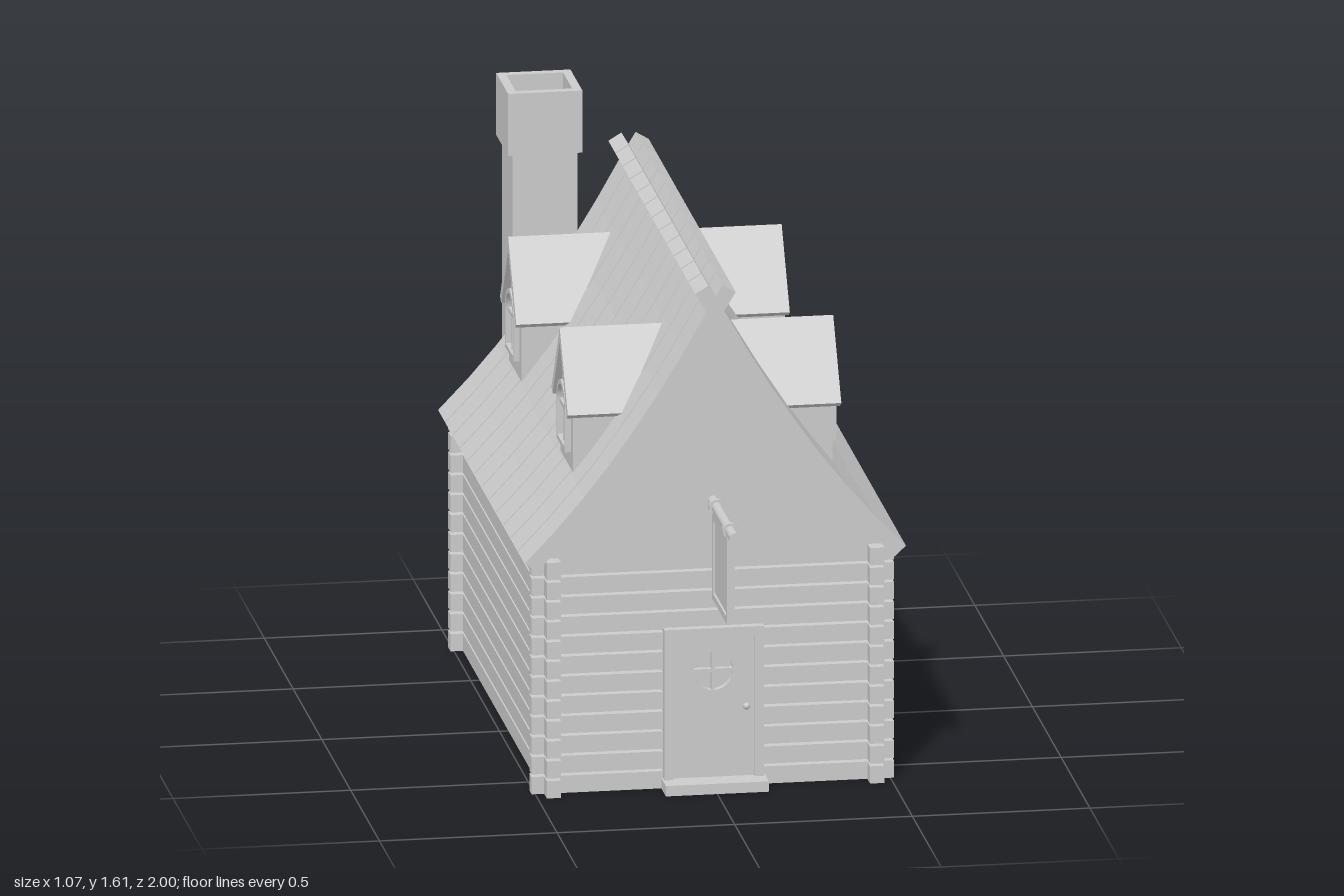
import * as THREE from 'three';

const V = (x, y) => new THREE.Vector2(x, y);
const material = new THREE.MeshStandardMaterial({ color: 0xcccccc });

// Upper line of the right roof slope, from the eave to the crossed tip
const slope = [[0.536, 0.685], [0.45, 0.775], [0.37, 0.868], [0.3, 0.957], [0.235, 1.048],
  [0.16, 1.16], [0.09, 1.275], [0.025, 1.39], [-0.02, 1.465]].map(p => V(...p));

// Same line moved inwards by the plank thickness
const underside = slope.map((p, i) => {
  const t = slope[Math.min(i + 1, 8)].clone().sub(slope[Math.max(i - 1, 0)]).normalize();
  return V(p.x - t.y * 0.043, p.y + t.x * 0.043);
});

// x of the roof surface at height y
function roofX(y) {
  for (let i = 0; i < 8; i++) {
    const a = slope[i], b = slope[i + 1];
    if (y <= b.y) return a.x + (b.x - a.x) * (y - a.y) / (b.y - a.y);
  }
  return 0;
}

function add(parent, name, geometry, x = 0, y = 0, z = 0) {
  const mesh = new THREE.Mesh(geometry, material);
  mesh.name = name;
  mesh.position.set(x, y, z);
  parent.add(mesh);
  return mesh;
}

// Box given by its limits on each axis
function box(parent, name, [x0, x1], [y0, y1], [z0, z1]) {
  return add(parent, name, new THREE.BoxGeometry(x1 - x0, y1 - y0, z1 - z0),
    (x0 + x1) / 2, (y0 + y1) / 2, (z0 + z1) / 2);
}

function extrude(shape, depth) {
  return new THREE.ExtrudeGeometry(shape, { depth, bevelEnabled: false, curveSegments: 12 });
}

function rect(x0, x1, y0, y1, T = THREE.Shape) {
  return new T([V(x0, y0), V(x1, y0), V(x1, y1), V(x0, y1)]);
}

// Rectangle with a round top
function arch(r, bottom, spring, T = THREE.Shape) {
  const s = new T();
  s.moveTo(-r, bottom);
  s.lineTo(r, bottom);
  s.lineTo(r, spring);
  s.absarc(0, spring, r, 0, Math.PI, false);
  s.lineTo(-r, bottom);
  return s;
}

// Extrusion along x whose back end follows the roof slope
function againstRoof(shape, frontX, sink) {
  const g = extrude(shape, 1);
  const p = g.attributes.position;
  for (let i = 0; i < p.count; i++) {
    const back = Math.min(roofX(p.getY(i)) - sink, frontX - 0.005);
    p.setZ(i, p.getZ(i) > 0.5 ? frontX : back);
  }
  g.rotateY(Math.PI / 2);
  g.computeVertexNormals();
  return g;
}

function makeDormer() {
  const dormer = new THREE.Group();
  dormer.name = 'dormer';
  const body = new THREE.Shape([V(-0.11, 0.873), V(0.11, 0.873), V(0.11, 1.07), V(0, 1.235), V(-0.11, 1.07)]);
  body.holes.push(arch(0.065, 0.935, 1.035, THREE.Path));
  add(dormer, 'dormerWalls', againstRoof(body, 0.365, 0.01));
  const roof = new THREE.Shape([V(0, 1.264), V(-0.142, 1.05), V(-0.122, 1.036), V(0, 1.222), V(0.122, 1.036), V(0.142, 1.05)]);
  add(dormer, 'dormerRoof', againstRoof(roof, 0.385, 0.005));
  // Arched window
  const frame = arch(0.076, 0.924, 1.035);
  frame.holes.push(arch(0.063, 0.937, 1.035, THREE.Path));
  add(dormer, 'windowFrame', extrude(frame, 0.02).rotateY(Math.PI / 2), 0.362);
  add(dormer, 'windowPane', extrude(arch(0.07, 0.93, 1.035), 0.01).rotateY(Math.PI / 2), 0.34);
  box(dormer, 'windowBar', [0.35, 0.375], [1.03, 1.042], [-0.065, 0.065]);
  box(dormer, 'windowBar', [0.35, 0.375], [0.93, 1.035], [-0.006, 0.006]);
  return dormer;
}

export function createModel() {
  const house = new THREE.Group();
  house.name = 'logHouse';

  // Log walls crossing at the corners, left open for the door
  const walls = new THREE.Group();
  walls.name = 'logWalls';
  house.add(walls);
  for (let i = 0; i < 12; i++) {
    const y = [i * 0.0575, i * 0.0575 + 0.05];
    for (const s of [-1, 1]) {
      add(walls, 'sideLog', new THREE.BoxGeometry(0.04, 0.05, 1.542), s * 0.455, y[0] + 0.025, -0.104);
      if (y[0] < 0.44) box(walls, 'frontLog', s < 0 ? [-0.51, -0.13] : [0.13, 0.51], y, [0.58, 0.62]);
    }
    if (y[0] >= 0.44) box(walls, 'frontLog', [-0.51, 0.51], y, [0.58, 0.62]);
    box(walls, 'backLog', [-0.51, 0.51], y, [-0.83, -0.79]);
  }

  // Gable walls under the roof curve
  const right = underside.filter(p => p.x > 0.005 && p.y > 0.685);
  const gable = new THREE.Shape([V(-0.49, 0.68), V(0.49, 0.68), ...right, V(0, 1.347),
    ...right.map(p => V(-p.x, p.y)).reverse()]);
  for (const z of [0.585, -0.83]) add(house, 'gable', extrude(gable, 0.04), 0, 0, z);

  // Curved roof planks that cross at the ridge
  const roof = new THREE.Group();
  roof.name = 'roof';
  house.add(roof);
  const section = [...slope, ...underside.slice().reverse()];
  const planks = [1, -1].map(s => extrude(new THREE.Shape(section.map(p => V(s * p.x, p.y))), 0.119));
  for (let i = 0; i < 12; i++) {
    for (const g of planks) add(roof, 'roofPlank', g, 0, 0, -0.845 + i * 0.1266);
  }

  // Two dormers on each slope
  for (const z of [0.335, -0.56]) {
    for (const turn of [0, Math.PI]) {
      const dormer = makeDormer();
      dormer.position.z = z;
      dormer.rotation.y = turn;
      house.add(dormer);
    }
  }

  // Door with frame, round window, knob and step
  const door = new THREE.Group();
  door.name = 'door';
  house.add(door);
  const frame = rect(-0.14, 0.14, 0, 0.465);
  frame.holes.push(rect(-0.115, 0.115, 0.03, 0.438, THREE.Path));
  add(door, 'doorFrame', extrude(frame, 0.07), 0, 0, 0.575);
  const panel = rect(-0.115, 0.115, 0.03, 0.438);
  panel.holes.push(new THREE.Path().absarc(0, 0.337, 0.056, 0, Math.PI * 2, true));
  add(door, 'doorPanel', extrude(panel, 0.045), 0, 0, 0.585);
  add(door, 'doorGlass', new THREE.CylinderGeometry(0.057, 0.057, 0.02, 24).rotateX(Math.PI / 2), 0, 0.337, 0.6);
  box(door, 'doorWindowBar', [-0.056, 0.056], [0.332, 0.342], [0.605, 0.627]);
  box(door, 'doorWindowBar', [-0.005, 0.005], [0.281, 0.393], [0.605, 0.627]);
  add(door, 'doorKnob', new THREE.SphereGeometry(0.01, 12, 8), 0.092, 0.233, 0.638);
  box(door, 'doorStep', [-0.145, 0.145], [0, 0.03], [0.58, 0.7]);

  // Hanging sign on a pole
  const sign = new THREE.Group();
  sign.name = 'hangingSign';
  house.add(sign);
  const rod = (name, r, z0, z1) => add(sign, name,
    new THREE.CylinderGeometry(r, r, z1 - z0, 16).rotateX(Math.PI / 2), 0, 0.829, (z0 + z1) / 2);
  rod('signPole', 0.015, 0.6, 1);
  rod('poleCollar', 0.022, 0.672, 0.692);
  rod('poleCollar', 0.022, 0.907, 0.927);
  const border = rect(-0.935, -0.67, 0.56, 0.818);
  border.holes.push(rect(-0.915, -0.69, 0.58, 0.79, THREE.Path));
  add(sign, 'signFrame', extrude(border, 0.022).rotateY(Math.PI / 2), -0.011);
  box(sign, 'signPanel', [-0.005, 0.005], [0.575, 0.795], [0.685, 0.92]);

  // Chimney: base, sloped shoulder, shaft and hollow cap
  const chimney = new THREE.Group();
  chimney.name = 'chimney';
  house.add(chimney);
  box(chimney, 'chimneyBase', [-0.393, -0.1], [0, 0.385], [-1, -0.84]);
  const shoulder = box(chimney, 'chimneyShoulder', [-0.393, -0.1], [0.385, 0.435], [-1, -0.84]).geometry;
  const p = shoulder.attributes.position;
  for (let i = 0; i < p.count; i++) {
    if (p.getY(i) < 0) continue;
    p.setX(i, p.getX(i) * 0.63);
    if (p.getZ(i) < 0) p.setZ(i, p.getZ(i) + 0.032);
  }
  const shaft = rect(-0.336, -0.153, 0.79, 0.968);
  shaft.holes.push(rect(-0.312, -0.177, 0.814, 0.944, THREE.Path));
  box(chimney, 'chimneyShaft', [-0.336, -0.153], [0.42, 1.3], [-0.968, -0.79]);
  add(chimney, 'chimneyThroat', extrude(shaft, 0.16).rotateX(-Math.PI / 2), 0, 1.3, 0);
  const cap = rect(-0.35, -0.141, 0.775, 0.983);
  cap.holes.push(rect(-0.325, -0.166, 0.8, 0.958, THREE.Path));
  add(chimney, 'chimneyCap', extrude(cap, 0.18).rotateX(-Math.PI / 2), 0, 1.433, 0);

  return house;
}
